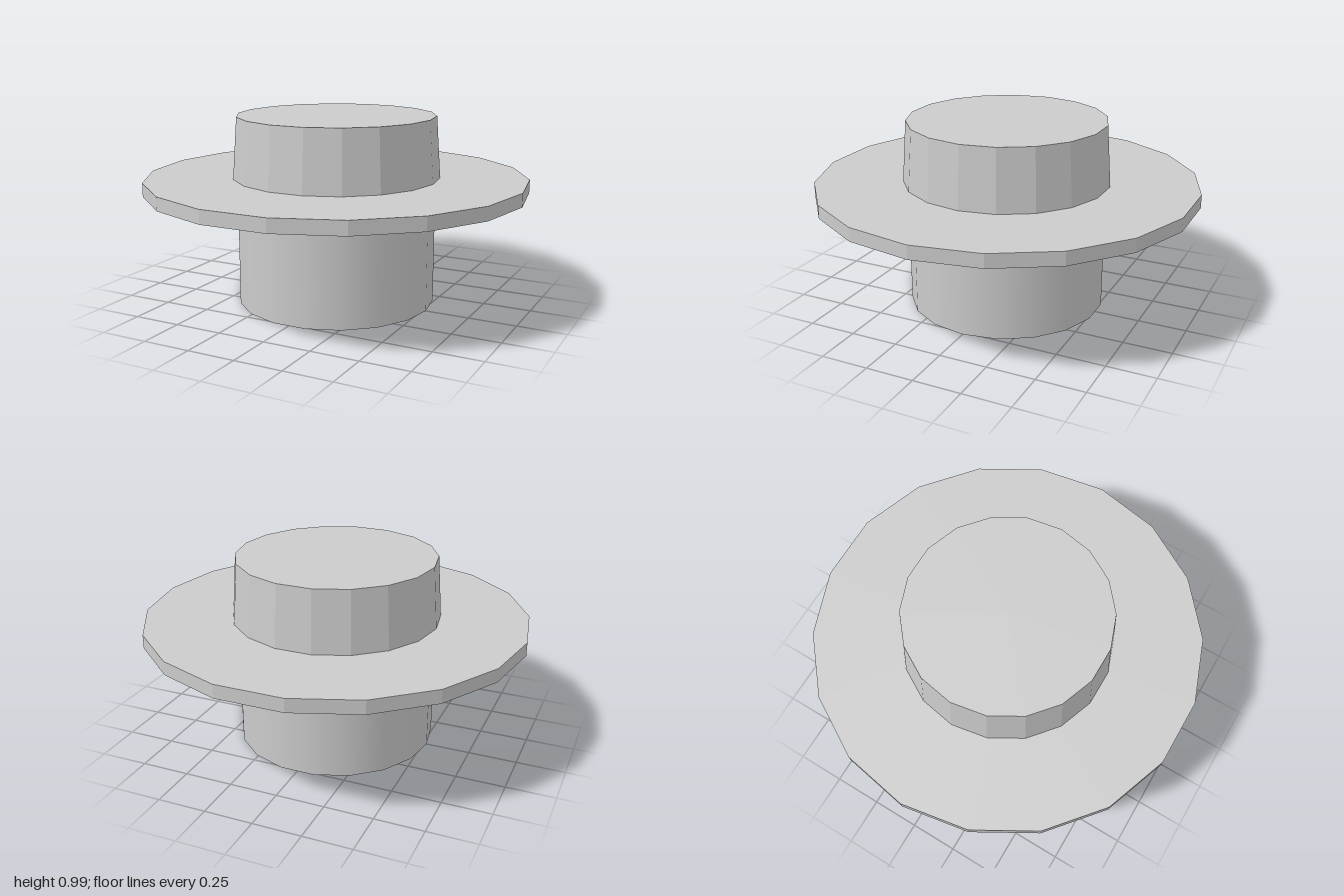
import * as THREE from 'three';

const SIDES = 18;

export function createModel() {
  const group = new THREE.Group();

  // Stacked 18-sided rounds, turned so that a corner points along +x and -x
  const addRound = (name, topRadius, bottomRadius, y0, y1, flatShading) => {
    const geometry = new THREE.CylinderGeometry(
      topRadius, bottomRadius, y1 - y0, SIDES, 1, false, Math.PI / SIDES);
    const material = new THREE.MeshStandardMaterial({ color: 0xcccccc, flatShading });
    const mesh = new THREE.Mesh(geometry, material);
    mesh.name = name;
    mesh.position.y = (y0 + y1) / 2;
    group.add(mesh);
  };

  addRound('lowerBarrel', 0.52, 0.52, 0, 0.6, false);
  addRound('flange', 1, 1, 0.6, 0.67, true);
  addRound('taperedCap', 0.52, 0.543, 0.67, 0.99, true);

  return group;
}
